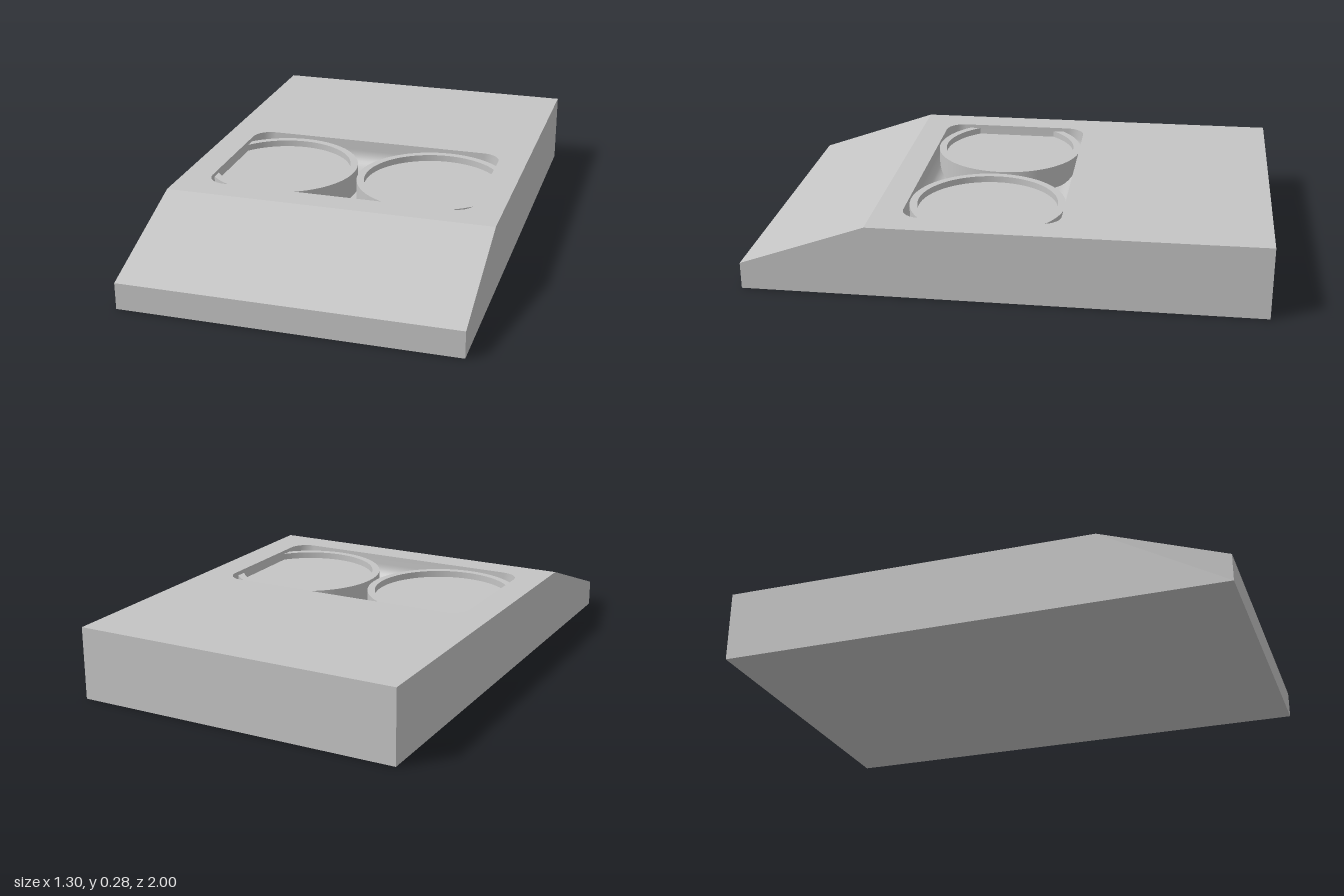
import * as THREE from 'three';
import { toCreasedNormals } from 'three/addons/utils/BufferGeometryUtils.js';

const W = 0.65, RIDGE = 0.51, NOSE = 0.105;      // half width, start of slope, nose height
const CZ = 0.095, HX = 0.535, HZ = 0.305;        // recess centre and half sizes
const CORNER = 0.075, FILLET = 0.07, FLOOR = 0.17;
const topY = (z) => 0.2817 - 0.0033 * z;         // deck rises very slightly to the back

// Rounded-rectangle loop of the recess, as [x, z] pairs
function recessLoop(inset) {
  const pts = [], r = CORNER - inset, n = 10;
  [[1, 1], [-1, 1], [-1, -1], [1, -1]].forEach(([sx, sz], k) => {
    for (let i = 0; i <= n; i++) {
      const a = (k + i / n) * Math.PI / 2;
      pts.push([sx * (HX - CORNER) + r * Math.cos(a), CZ + sz * (HZ - CORNER) + r * Math.sin(a)]);
    }
  });
  return pts;
}

// Flat four-cornered face, corners counter-clockwise from outside
function quad(a, b, c, d) {
  const g = new THREE.BufferGeometry();
  g.setAttribute('position', new THREE.Float32BufferAttribute([...a, ...b, ...c, ...a, ...c, ...d], 3));
  g.computeVertexNormals();
  return g;
}

// Recess wall flowing through a fillet into a flat floor
function basinGeometry() {
  const pos = [], idx = [], steps = 10;
  const rows = [[0, null], [0, FLOOR + FILLET]];
  for (let i = 1; i <= steps; i++) {
    const a = i / steps * Math.PI / 2;
    rows.push([FILLET * (1 - Math.cos(a)), FLOOR + FILLET * (1 - Math.sin(a))]);
  }
  const n = recessLoop(0).length;
  rows.forEach(([inset, y], r) => {
    recessLoop(inset).forEach(([x, z]) => pos.push(x, y === null ? topY(z) : y, z));
    if (r === 0) return;
    for (let j = 0; j < n; j++) {
      const k = (j + 1) % n, u = (r - 1) * n, l = r * n;
      idx.push(u + j, l + j, u + k, u + k, l + j, l + k);
    }
  });
  const last = (rows.length - 1) * n, centre = pos.length / 3;
  pos.push(0, FLOOR, CZ);
  for (let j = 0; j < n; j++) idx.push(centre, last + (j + 1) % n, last + j);
  const g = new THREE.BufferGeometry();
  g.setAttribute('position', new THREE.Float32BufferAttribute(pos, 3));
  g.setIndex(idx);
  g.computeVertexNormals();
  return g;
}

// Upright solid from a plan shape, between two heights
function upright(shape, y0, y1) {
  const g = new THREE.ExtrudeGeometry(shape, { depth: y1 - y0, bevelEnabled: false, curveSegments: 64 });
  g.rotateX(-Math.PI / 2).translate(0, y0, 0);
  return toCreasedNormals(g, 0.5);
}

export function createModel() {
  const model = new THREE.Group();
  model.name = 'wedgeBlock';
  const grey = new THREE.MeshStandardMaterial({ color: 0xc4c4c4 });
  grey.name = 'grey';
  const add = (parent, name, geometry) => {
    const m = new THREE.Mesh(geometry, grey);
    m.name = name;
    parent.add(m);
    return m;
  };

  // Body shell
  const body = new THREE.Group();
  body.name = 'body';
  model.add(body);
  const yb = topY(-1), yr = topY(RIDGE);
  add(body, 'noseSlope', quad([-W, NOSE, 1], [W, NOSE, 1], [W, yr, RIDGE], [-W, yr, RIDGE]));
  add(body, 'frontFace', quad([-W, 0, 1], [W, 0, 1], [W, NOSE, 1], [-W, NOSE, 1]));
  add(body, 'backFace', quad([W, 0, -1], [-W, 0, -1], [-W, yb, -1], [W, yb, -1]));
  add(body, 'underside', quad([-W, 0, -1], [W, 0, -1], [W, 0, 1], [-W, 0, 1]));

  // Side faces share one profile, drawn in (±z, y)
  for (const s of [1, -1]) {
    const outline = [[1, 0], [1, NOSE], [RIDGE, yr], [-1, yb], [-1, 0]];
    const side = new THREE.ShapeGeometry(
      new THREE.Shape(outline.map(([z, y]) => new THREE.Vector2(-s * z, y))));
    side.rotateY(s * Math.PI / 2).translate(s * W, 0, 0);
    add(body, s > 0 ? 'leftSide' : 'rightSide', side);
  }

  // Deck with the recess opening
  const deckShape = new THREE.Shape([[-W, -RIDGE], [W, -RIDGE], [W, 1], [-W, 1]]
    .map(([x, y]) => new THREE.Vector2(x, y)));
  deckShape.holes.push(new THREE.Path(recessLoop(0).map(([x, z]) => new THREE.Vector2(x, -z))));
  const deck = new THREE.ShapeGeometry(deckShape).rotateX(-Math.PI / 2);
  const p = deck.attributes.position;
  for (let i = 0; i < p.count; i++) p.setY(i, topY(p.getZ(i)));
  deck.computeVertexNormals();
  add(body, 'deck', deck);
  add(body, 'recess', basinGeometry());

  // Two round cups, cut flat by the recess ends
  const cx = 0.315, R = HZ, r = 0.275, cut = HX - cx;
  const aOut = Math.acos(cut / R), aIn = Math.acos(cut / r), full = Math.PI * 2;
  const rimShape = new THREE.Shape();
  rimShape.absarc(0, 0, R, aOut, full - aOut, false);
  rimShape.absarc(0, 0, r, full - aIn, aIn, true);
  const padShape = new THREE.Shape();
  padShape.absarc(0, 0, r, aIn, full - aIn, false);
  for (const s of [1, -1]) {
    const cup = new THREE.Group();
    cup.name = s > 0 ? 'leftCup' : 'rightCup';
    cup.position.set(s * cx, 0, CZ);
    if (s < 0) cup.rotation.y = Math.PI;
    add(cup, 'cupRim', upright(rimShape, FLOOR - 0.02, 0.266));
    add(cup, 'cupPad', upright(padShape, FLOOR - 0.02, 0.24));
    model.add(cup);
  }
  return model;
}
